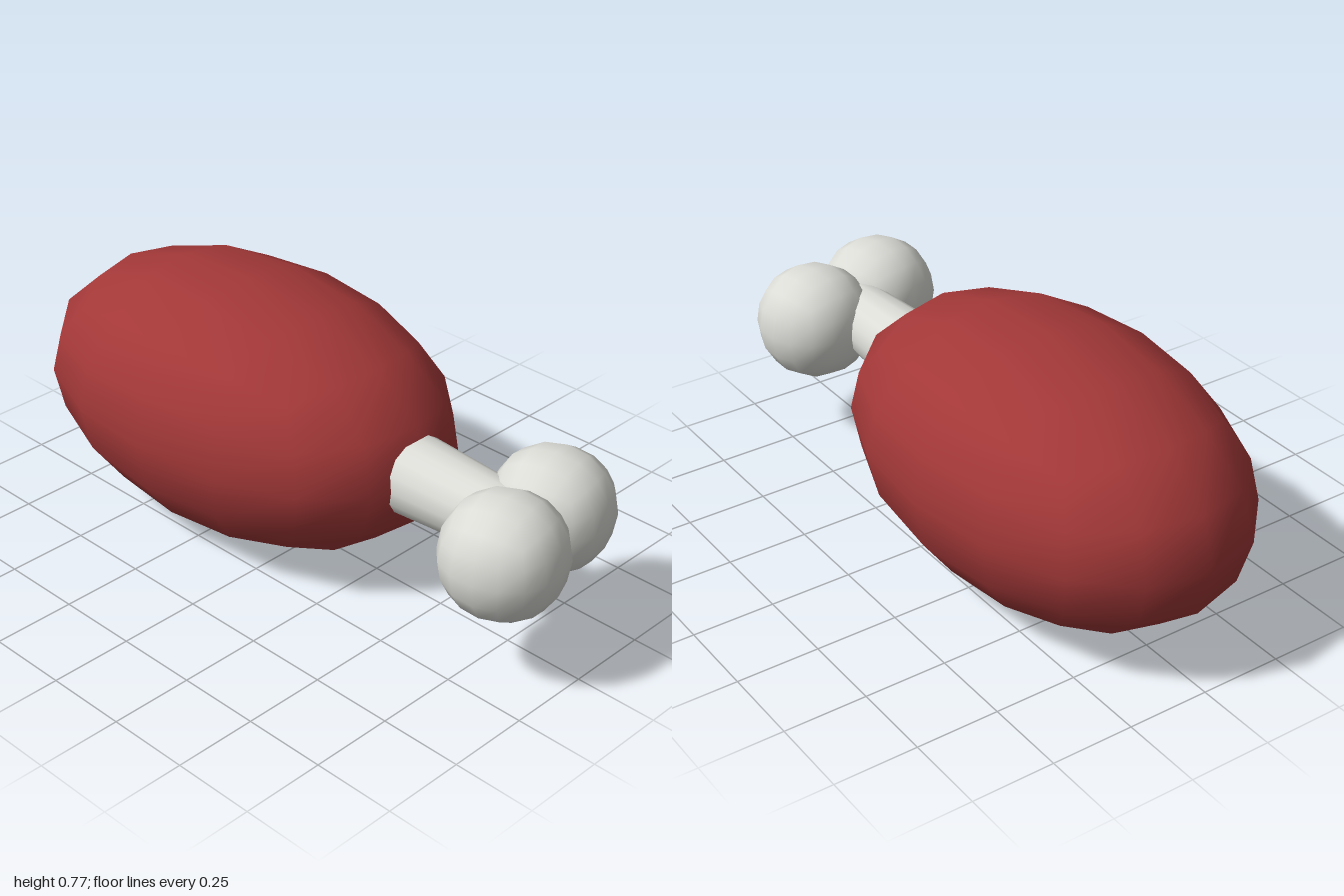
import * as THREE from 'three';
import { mergeVertices } from 'three/addons/utils/BufferGeometryUtils.js';

// Smooth ball made from a box with a 4 x 4 grid on each side, rounded like a subdivided cube
function roundedCube(rx, ry, rz) {
  let geometry = new THREE.BoxGeometry(2, 2, 2, 4, 4, 4);
  geometry.deleteAttribute('uv');
  geometry.deleteAttribute('normal');
  geometry = mergeVertices(geometry);
  const p = geometry.attributes.position;
  const v = new THREE.Vector3();
  for (let i = 0; i < p.count; i++) {
    v.fromBufferAttribute(p, i);
    const c = v.toArray();
    const corner = c.filter((a) => Math.abs(a) > 0.9).length > 1;
    // pull the half-way grid lines towards the middle of each side
    v.fromArray(c.map((a) => (Math.abs(Math.abs(a) - 0.5) < 0.1 ? Math.sign(a) * (corner ? 0.47 : 0.43) : a)));
    v.normalize();
    const [x, y, z] = v.toArray().map((a) => a * a);
    v.multiplyScalar(1 + 0.108 * (x * y + y * z + z * x) - 0.12 * x * y * z);
    p.setXYZ(i, v.x * rx, v.y * ry, v.z * rz);
  }
  geometry.computeVertexNormals();
  return geometry;
}

export function createModel() {
  const meatRed = new THREE.MeshStandardMaterial({ name: 'meatRed', color: 0xa33838 });
  const boneWhite = new THREE.MeshStandardMaterial({ name: 'boneWhite', color: 0xdcdcd7 });
  const model = new THREE.Group();
  model.name = 'drumstick';
  const midY = 0.387;

  const add = (name, geometry, material, x, z) => {
    const mesh = new THREE.Mesh(geometry, material);
    mesh.name = name;
    mesh.position.set(x, midY, z);
    model.add(mesh);
    return mesh;
  };

  // Meat
  add('meat', roundedCube(0.45, 0.384, 0.72), meatRed, 0, -0.28);

  // Bone shaft, narrowing towards the front
  const shaft = new THREE.CylinderGeometry(0.1, 0.122, 0.4, 16);
  shaft.rotateX(Math.PI / 2);
  add('boneShaft', shaft, boneWhite, 0, 0.55);

  // Two knuckles at the end of the bone, set slightly askew
  const knuckle = roundedCube(0.177, 0.177, 0.177);
  add('rightKnuckle', knuckle, boneWhite, -0.128, 0.822).rotation.y = 0.2;
  add('leftKnuckle', knuckle, boneWhite, 0.136, 0.768).rotation.y = 0.2;

  return model;
}
